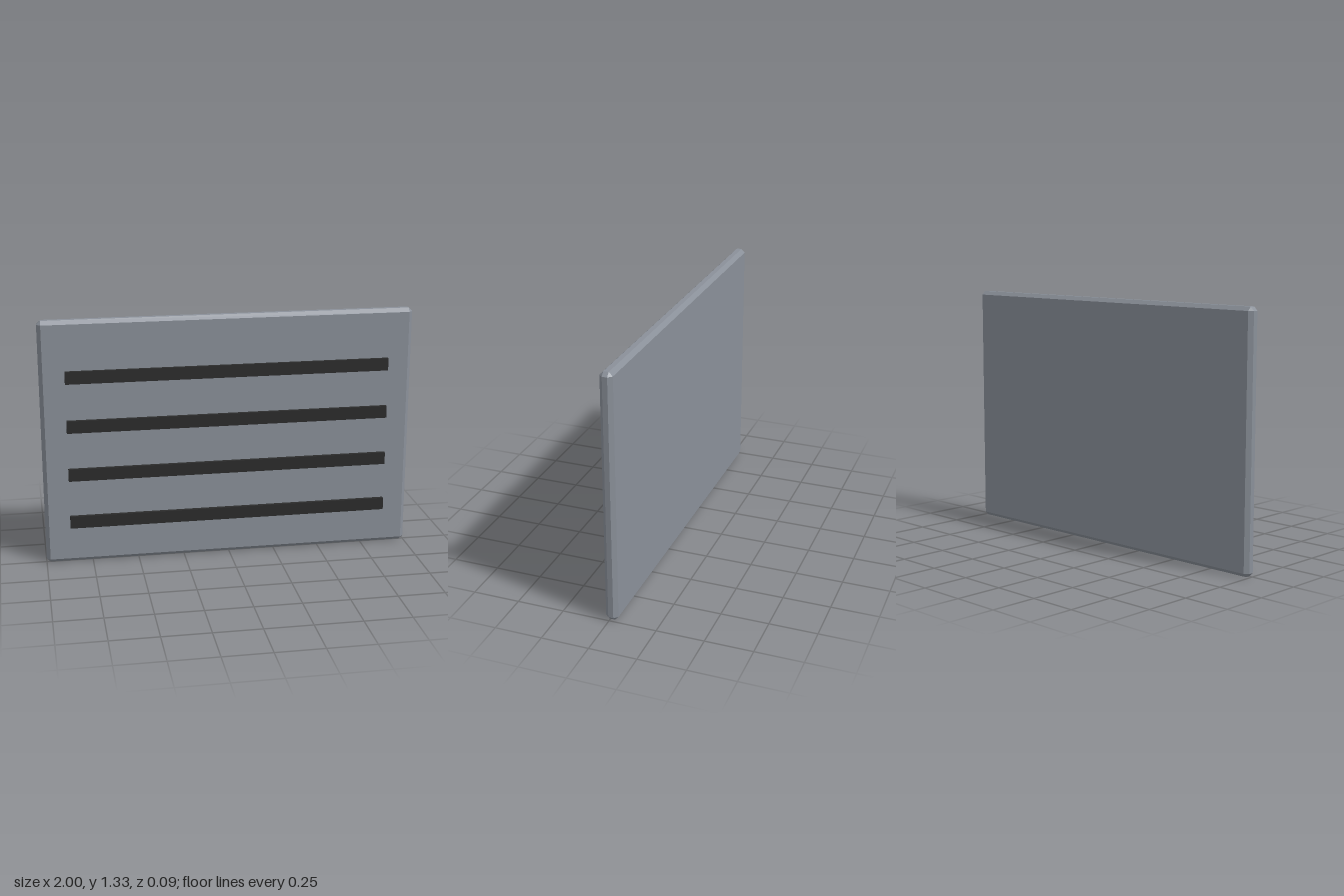
import * as THREE from 'three';
import { ConvexGeometry } from 'three/addons/geometries/ConvexGeometry.js';

// Box with evenly chamfered edges and cut corners
function chamferedBox(w, h, d, c) {
  const points = [];
  for (const sx of [-1, 1]) for (const sy of [-1, 1]) for (const sz of [-1, 1]) {
    for (let axis = 0; axis < 3; axis++) {
      const inset = [c, c, c];
      inset[axis] = 0;
      points.push(new THREE.Vector3(
        sx * (w / 2 - inset[0]), sy * (h / 2 - inset[1]), sz * (d / 2 - inset[2])));
    }
  }
  return new ConvexGeometry(points);
}

export function createModel() {
  const group = new THREE.Group();
  group.name = 'slattedPanel';

  const panelGrey = new THREE.MeshStandardMaterial({ color: 0x8a9099 });
  panelGrey.name = 'panel grey';
  const slatBlack = new THREE.MeshStandardMaterial({ color: 0x2b2b2b });
  slatBlack.name = 'slat black';

  // Main plate
  const thickness = 0.0667, height = 1.3333, frontZ = 0.0233;
  const panel = new THREE.Mesh(chamferedBox(2, height, thickness, 0.02), panelGrey);
  panel.name = 'panel';
  panel.position.set(0, height / 2, frontZ - thickness / 2);
  group.add(panel);

  // Four raised horizontal slats on the front
  const slatGeometry = new THREE.BoxGeometry(1.7333, 0.0667, 0.02);
  for (let i = 0; i < 4; i++) {
    const slat = new THREE.Mesh(slatGeometry, slatBlack);
    slat.name = `slat${i + 1}`;
    slat.position.set(0, 0.2333 + i * 0.2667, frontZ + 0.01);
    group.add(slat);
  }
  return group;
}
